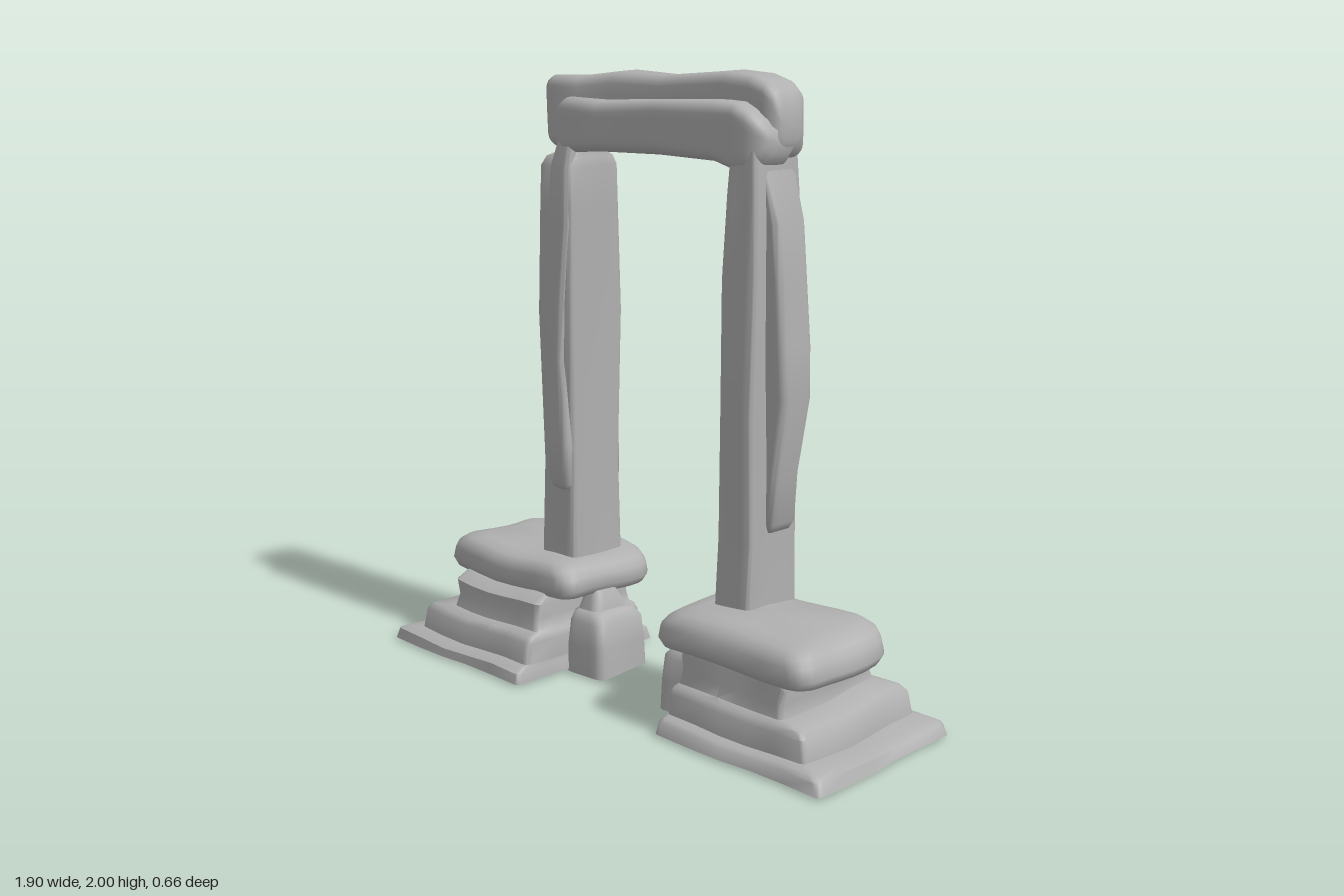
import * as THREE from 'three';
import { toCreasedNormals } from 'three/addons/utils/BufferGeometryUtils.js';

const stone = new THREE.MeshStandardMaterial({ color: 0xb0b0b0, side: THREE.DoubleSide });
stone.name = 'grey stone';

// Counter-clockwise rounded rectangle with extra points along its edges
function ring(a0, a1, b0, b1, r) {
  r = Math.min(r, (a1 - a0) * 0.45, (b1 - b0) * 0.45);
  const corners = [[a1 - r, b1 - r], [a0 + r, b1 - r], [a0 + r, b0 + r], [a1 - r, b0 + r]];
  const pts = [];
  corners.forEach(([ca, cb], c) => {
    for (let i = 0; i <= 4; i++) {
      const t = (c + i / 4) * Math.PI / 2;
      pts.push([ca + r * Math.cos(t), cb + r * Math.sin(t)]);
    }
    const last = pts[pts.length - 1], next = corners[(c + 1) % 4];
    const t = (c + 1) * Math.PI / 2;
    const end = [next[0] + r * Math.cos(t), next[1] + r * Math.sin(t)];
    for (let i = 1; i < 5; i++) pts.push([0, 1].map(k => last[k] + (end[k] - last[k]) * i / 5));
  });
  return pts;
}

// Loft along y (rows: y, x0, x1, z0, z1) or along x (rows: x, y0, y1, z0, z1)
function loft(name, rows, { axis = 'y', r = 0.04, wobble = 0.004, open = false, crease = 0.8 } = {}) {
  const pos = [], idx = [];
  const rings = rows.map(([t, p0, p1, q0, q1]) => ({
    t, pts: axis === 'y' ? ring(q0, q1, p0, p1, r) : ring(p0, p1, q0, q1, r),
  }));
  const n = rings[0].pts.length;
  const put = (t, a, b) => {
    const [x, y, z] = axis === 'y' ? [b, t, a] : [t, a, b];
    pos.push(
      x + wobble * Math.sin(9 * y + 17 * z),
      y + (y > 0.02 ? wobble * Math.sin(13 * x + 11 * z) : 0),
      z + wobble * Math.sin(15 * x + 7 * y));
  };
  rings.forEach(({ t, pts }) => pts.forEach(([a, b]) => put(t, a, b)));
  for (let j = 0; j < rings.length - 1; j++) {
    for (let i = 0; i < n; i++) {
      const k = (i + 1) % n, p = j * n, q = p + n;
      idx.push(p + i, p + k, q + k, p + i, q + k, q + i);
    }
  }
  // End caps
  [0, rings.length - 1].forEach((j, top) => {
    if (open && !top) return;
    const c = pos.length / 3, pts = rings[j].pts;
    const mean = k => pts.reduce((s, p) => s + p[k], 0) / n;
    put(rings[j].t, mean(0), mean(1));
    for (let i = 0; i < n; i++) {
      const a = j * n + i, b = j * n + (i + 1) % n;
      idx.push(c, ...(top ? [a, b] : [b, a]));
    }
  });
  const g = new THREE.BufferGeometry();
  g.setAttribute('position', new THREE.Float32BufferAttribute(pos, 3));
  g.setIndex(idx);
  const mesh = new THREE.Mesh(toCreasedNormals(g, crease), stone);
  mesh.name = name;
  return mesh;
}

// Stepped plinth, hollow below, with a cap slab and a small inner block
function plinth(name) {
  const g = new THREE.Group();
  g.name = name;
  g.add(loft('steps', [
    [0.012, 0.29, 0.945, -0.325, 0.305],
    [0.045, 0.295, 0.93, -0.32, 0.295],
    [0.056, 0.30, 0.90, -0.30, 0.28],
    [0.062, 0.30, 0.845, -0.278, 0.255],
    [0.13, 0.30, 0.835, -0.272, 0.25],
    [0.15, 0.305, 0.815, -0.26, 0.24],
    [0.16, 0.315, 0.73, -0.228, 0.222],
    [0.20, 0.325, 0.72, -0.22, 0.215],
    [0.25, 0.32, 0.735, -0.22, 0.215],
    [0.28, 0.33, 0.72, -0.17, 0.21],
  ], { r: 0.02, open: true, wobble: 0.005 }));
  g.add(loft('capSlab', [
    [0.262, 0.26, 0.80, -0.15, 0.21],
    [0.27, 0.225, 0.825, -0.17, 0.235],
    [0.295, 0.21, 0.835, -0.18, 0.245],
    [0.335, 0.215, 0.82, -0.18, 0.24],
    [0.36, 0.235, 0.805, -0.175, 0.23],
    [0.38, 0.265, 0.775, -0.155, 0.205],
    [0.387, 0.31, 0.73, -0.11, 0.16],
  ], { r: 0.07, wobble: 0.007, crease: 1.1 }));
  g.add(loft('innerBlock', [
    [0.004, 0.14, 0.31, -0.105, 0.13],
    [0.10, 0.142, 0.31, -0.10, 0.125],
    [0.18, 0.15, 0.305, -0.09, 0.12],
    [0.208, 0.17, 0.30, -0.075, 0.105],
    [0.215, 0.19, 0.295, -0.06, 0.09],
    [0.25, 0.20, 0.285, -0.05, 0.075],
    [0.28, 0.215, 0.275, -0.04, 0.06],
  ], { r: 0.03 }));
  return g;
}

export function createModel() {
  const model = new THREE.Group();
  model.name = 'stoneGate';

  const left = plinth('leftPlinth'), right = plinth('rightPlinth');
  right.rotation.y = Math.PI;
  model.add(left, right);

  // Upright posts
  model.add(loft('leftPost', [
    [0.36, 0.328, 0.468, -0.158, 0.068],
    [0.60, 0.333, 0.465, -0.155, 0.067],
    [1.00, 0.338, 0.468, -0.16, 0.068],
    [1.40, 0.336, 0.465, -0.162, 0.066],
    [1.65, 0.342, 0.46, -0.16, 0.055],
    [1.78, 0.345, 0.45, -0.155, 0.04],
  ], { r: 0.015 }));
  model.add(loft('rightPost', [
    [0.36, -0.45, -0.298, -0.16, 0.066],
    [0.70, -0.45, -0.30, -0.16, 0.066],
    [1.20, -0.452, -0.298, -0.165, 0.07],
    [1.55, -0.452, -0.30, -0.165, 0.07],
    [1.68, -0.447, -0.30, -0.16, 0.065],
    [1.71, -0.435, -0.305, -0.145, 0.05],
    [1.725, -0.40, -0.31, -0.12, 0.03],
    [1.78, -0.38, -0.31, -0.11, 0.03],
  ], { r: 0.018 }));

  // Flakes bonded to the posts
  model.add(loft('leftOuterFlake', [
    [0.62, 0.45, 0.474, -0.115, -0.02],
    [0.645, 0.45, 0.488, -0.128, -0.01],
    [0.80, 0.45, 0.503, -0.132, -0.005],
    [1.04, 0.45, 0.54, -0.13, 0.0],
    [1.20, 0.45, 0.535, -0.13, 0.005],
    [1.40, 0.44, 0.518, -0.135, 0.01],
    [1.57, 0.43, 0.50, -0.14, 0.01],
    [1.70, 0.42, 0.46, -0.14, 0.01],
    [1.78, 0.40, 0.44, -0.13, 0.0],
  ], { r: 0.022, crease: 1.2 }));
  model.add(loft('leftInnerChip', [
    [0.61, 0.315, 0.35, -0.13, -0.06],
    [0.63, 0.298, 0.35, -0.145, -0.045],
    [0.71, 0.293, 0.35, -0.15, -0.04],
    [0.81, 0.297, 0.35, -0.148, -0.05],
    [0.84, 0.315, 0.35, -0.135, -0.065],
  ], { r: 0.02, crease: 1.2 }));
  model.add(loft('rightFrontFlake', [
    [0.62, -0.385, -0.32, 0.04, 0.082],
    [0.64, -0.402, -0.308, 0.04, 0.093],
    [0.78, -0.405, -0.308, 0.04, 0.09],
    [0.92, -0.405, -0.318, 0.04, 0.082],
    [1.05, -0.422, -0.33, 0.04, 0.08],
    [1.25, -0.42, -0.325, 0.04, 0.083],
    [1.50, -0.405, -0.308, 0.04, 0.08],
    [1.68, -0.395, -0.305, 0.03, 0.068],
    [1.78, -0.37, -0.305, 0.01, 0.045],
  ], { r: 0.02, crease: 1.2 }));
  model.add(loft('rightBackChip', [
    [0.61, -0.40, -0.35, -0.18, -0.14],
    [0.63, -0.415, -0.335, -0.193, -0.14],
    [0.72, -0.42, -0.33, -0.195, -0.14],
    [0.80, -0.415, -0.335, -0.19, -0.14],
    [0.835, -0.40, -0.35, -0.175, -0.14],
  ], { r: 0.02, crease: 1.2 }));

  // Lintel: tall rear beam with a lower ledge on its front
  model.add(loft('lintelBeam', [
    [-0.46, 1.77, 1.935, -0.145, -0.01],
    [-0.452, 1.745, 1.96, -0.165, 0.015],
    [-0.43, 1.735, 1.968, -0.172, 0.02],
    [-0.33, 1.738, 1.965, -0.172, 0.0],
    [-0.20, 1.745, 1.985, -0.17, -0.015],
    [0.00, 1.745, 1.983, -0.172, -0.025],
    [0.25, 1.745, 1.998, -0.17, -0.03],
    [0.36, 1.742, 1.996, -0.17, -0.025],
    [0.43, 1.745, 1.98, -0.165, -0.015],
    [0.465, 1.765, 1.955, -0.155, -0.02],
    [0.48, 1.81, 1.90, -0.13, -0.04],
  ], { axis: 'x', r: 0.035, crease: 1.2 }));
  model.add(loft('lintelLedge', [
    [-0.385, 1.77, 1.85, -0.06, 0.025],
    [-0.37, 1.73, 1.885, -0.06, 0.048],
    [-0.34, 1.725, 1.90, -0.06, 0.056],
    [-0.20, 1.742, 1.90, -0.06, 0.055],
    [0.05, 1.742, 1.91, -0.06, 0.052],
    [0.28, 1.742, 1.92, -0.06, 0.052],
    [0.36, 1.72, 1.92, -0.08, 0.052],
    [0.41, 1.72, 1.90, -0.09, 0.048],
    [0.45, 1.735, 1.87, -0.10, 0.035],
    [0.474, 1.77, 1.84, -0.10, 0.01],
  ], { axis: 'x', r: 0.035, crease: 1.2 }));
  return model;
}
